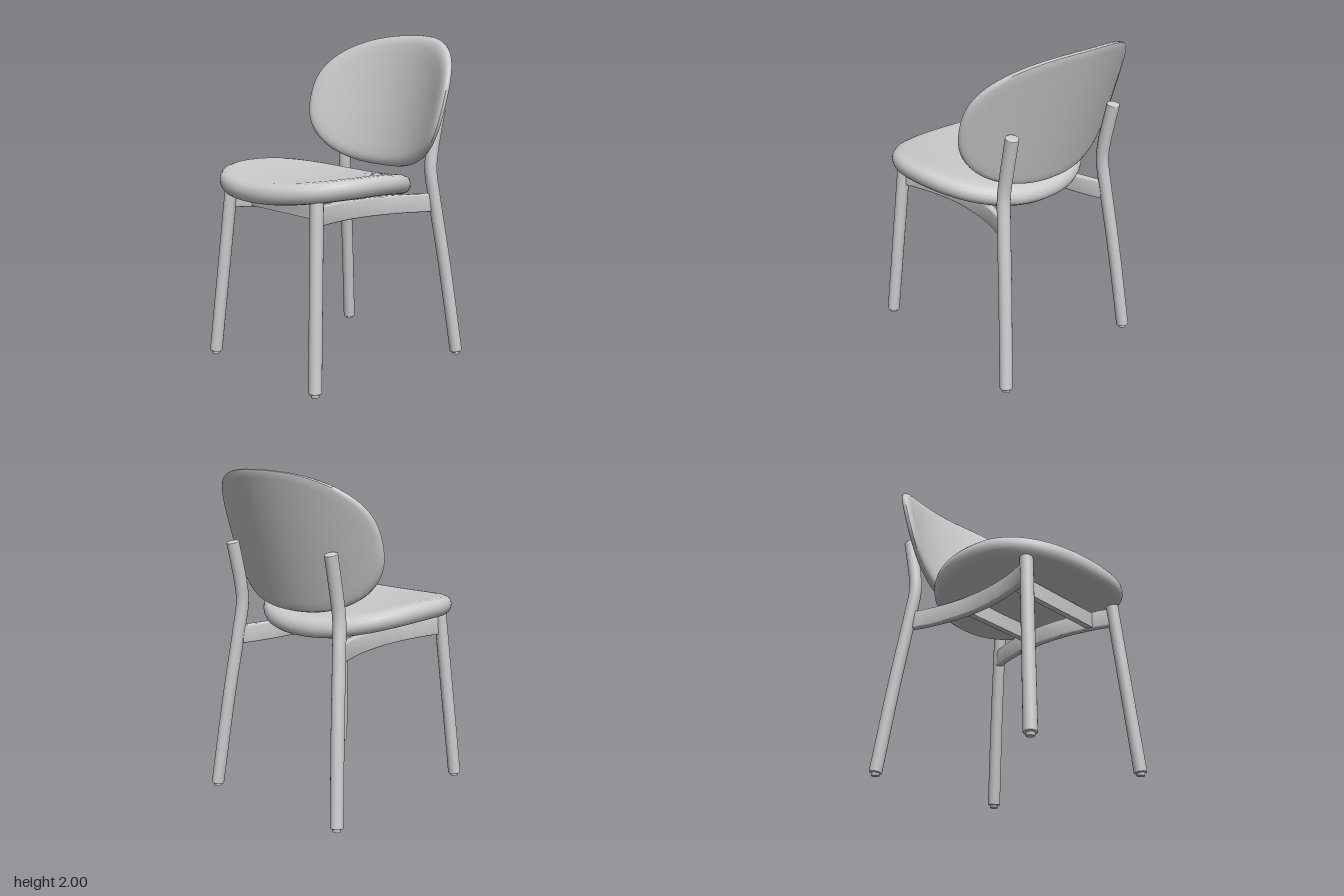
import * as THREE from 'three';
import { toCreasedNormals } from 'three/addons/utils/BufferGeometryUtils.js';

const grey = new THREE.MeshStandardMaterial({ color: 0xcccccc });

function add(parent, name, geometry) {
  const mesh = new THREE.Mesh(geometry, grey);
  mesh.name = name;
  parent.add(mesh);
  return mesh;
}

// Closed pad: rings of a superellipse, scaled and lifted by a profile of [scale, height], then warped.
// The profile starts and ends at scale 0, so both faces close at the centre.
function padGeometry(halfWidth, halfUp, halfDown, power, profile, warp) {
  const rings = [profile[0]];
  for (let i = 1; i < profile.length; i++) {
    const [s0, h0] = profile[i - 1], [s, h] = profile[i];
    const n = Math.max(1, Math.ceil(Math.abs(s - s0) / 0.09));
    for (let k = 1; k <= n; k++) rings.push([s0 + (s - s0) * k / n, h0 + (h - h0) * k / n]);
  }
  const seg = 80, pos = [], index = [];
  const curve = (c) => Math.sign(c) * Math.abs(c) ** (2 / power);
  rings.forEach(([s, h], i) => {
    for (let j = 0; j < seg; j++) {
      const a = (j + 0.5) / seg * Math.PI * 2;
      const u = s * halfWidth * curve(Math.cos(a));
      const v = s * (Math.sin(a) > 0 ? halfUp : halfDown) * curve(Math.sin(a));
      pos.push(...warp(u, v, h));
      const p = i * seg + j, q = i * seg + (j + 1) % seg;
      if (i > 0 && i < rings.length - 1) index.push(p, q, q + seg);
      if (i < rings.length - 2) index.push(p, q + seg, p + seg);
      if (i === rings.length - 2) index.push(p, q, p + seg);
    }
  });
  // Drop the collapsed half of the last band
  const g = new THREE.BufferGeometry();
  g.setAttribute('position', new THREE.Float32BufferAttribute(pos, 3));
  g.setIndex(index);
  return toCreasedNormals(g, 0.9);
}

// Round leg along points, with slightly domed ends and a small glide under the foot.
function leg(name, points, radius) {
  const group = new THREE.Group();
  group.name = name;
  const path = new THREE.CatmullRomCurve3(points.map((p) => new THREE.Vector3(...p)));
  add(group, 'legPole', new THREE.TubeGeometry(path, 40, radius, 20));
  for (const t of [0, 1]) {
    const cap = add(group, 'legEnd', new THREE.SphereGeometry(radius, 20, 10));
    cap.scale.y = 0.2;
    cap.position.copy(path.getPoint(t));
    cap.quaternion.setFromUnitVectors(new THREE.Vector3(0, 1, 0), path.getTangent(t));
  }
  const glide = add(group, 'footGlide', new THREE.CylinderGeometry(0.026, 0.024, 0.02, 16));
  glide.position.set(points[0][0], 0.01, points[0][2]);
  return group;
}

// Side rail: a strip bowed inwards in plan, extruded upwards and sloping down to the back.
function sideRailGeometry(side) {
  const inner = [], outer = [];
  for (let i = 0; i <= 24; i++) {
    const z = 0.47 - 0.92 * i / 24;
    const x = 0.312 + 0.095 * (z / 0.46) ** 2;
    inner.push(new THREE.Vector2(side * (x - 0.014), -z));
    outer.push(new THREE.Vector2(side * (x + 0.014), -z));
  }
  const shape = new THREE.Shape([...inner, ...outer.reverse()]);
  const g = new THREE.ExtrudeGeometry(shape, {
    depth: 0.093, bevelThickness: 0.01, bevelSize: 0.008, bevelSegments: 3,
  });
  g.rotateX(-Math.PI / 2);
  const p = g.attributes.position;
  for (let i = 0; i < p.count; i++) p.setY(i, p.getY(i) + 0.956 + 0.028 * (p.getZ(i) - 0.4));
  return toCreasedNormals(g, 0.6);
}

// Straight bar across the chair with softly rounded edges.
function crossBarGeometry(length, height) {
  const g = new THREE.ExtrudeGeometry(
    new THREE.Shape([[-0.014, -height / 2], [0.014, -height / 2], [0.014, height / 2], [-0.014, height / 2]]
      .map(([x, y]) => new THREE.Vector2(x, y))),
    { depth: length, bevelThickness: 0.006, bevelSize: 0.006, bevelSegments: 3 });
  g.translate(0, 0, -length / 2);
  g.rotateY(Math.PI / 2);
  return toCreasedNormals(g, 0.6);
}

export function createModel() {
  const chair = new THREE.Group();
  chair.name = 'chair';

  // Seat cushion: sides lift up, the back and front droop
  const seatProfile = [[0, -0.06], [0.9, -0.058], [0.95, -0.052], [0.98, -0.037], [0.997, -0.014],
    [1, 0.005], [0.99, 0.029], [0.965, 0.047], [0.92, 0.058], [0.85, 0.063], [0, 0.066]];
  add(chair, 'seat', padGeometry(0.585, 0.6, 0.48, 2.25, seatProfile, (u, v, h) => {
    const droop = v > 0 ? 0.05 * (v / 0.6) ** 2 : 0.008 * (v / 0.48) ** 2;
    return [u, 1.115 + 0.05 * (u / 0.585) ** 2 - droop + h, 0.2 - v];
  }));

  // Backrest: flat shell behind, padded front, bent round the sitter and leaning back
  const backProfile = [[0, 0], [0.96, 0], [0.99, 0.004], [1, 0.016], [0.995, 0.032], [0.975, 0.046],
    [0.94, 0.057], [0.88, 0.065], [0.78, 0.067], [0, 0.064]];
  add(chair, 'backrest', padGeometry(0.61, 0.38, 0.445, 2.43, backProfile, (u, v, h) => {
    const y = 1.62 + v;
    return [u, y, -0.442 - 0.31 * (y - 1.2) + 0.22 * (u / 0.61) ** 2 + h];
  }));

  // Legs and side rails on both sides
  for (const [side, label] of [[1, 'left'], [-1, 'right']]) {
    chair.add(leg(label + 'FrontLeg', [[side * 0.495, 0.022, 0.565], [side * 0.413, 1.085, 0.48]], 0.039));
    chair.add(leg(label + 'BackLeg', [
      [0.511, 0.022, -0.586], [0.457, 0.6, -0.518], [0.417, 1.0, -0.463],
      [0.4, 1.18, -0.443], [0.396, 1.3, -0.457], [0.4, 1.55, -0.509],
    ].map(([x, y, z]) => [side * x, y, z]), 0.039));
    add(chair, label + 'SideRail', sideRailGeometry(side));
  }

  // Bars between the side rails
  add(chair, 'frontCrossBar', crossBarGeometry(0.72, 0.085)).position.set(0, 1.0, 0.35);
  add(chair, 'rearCrossBar', crossBarGeometry(0.62, 0.085)).position.set(0, 1.0, -0.08);

  return chair;
}
